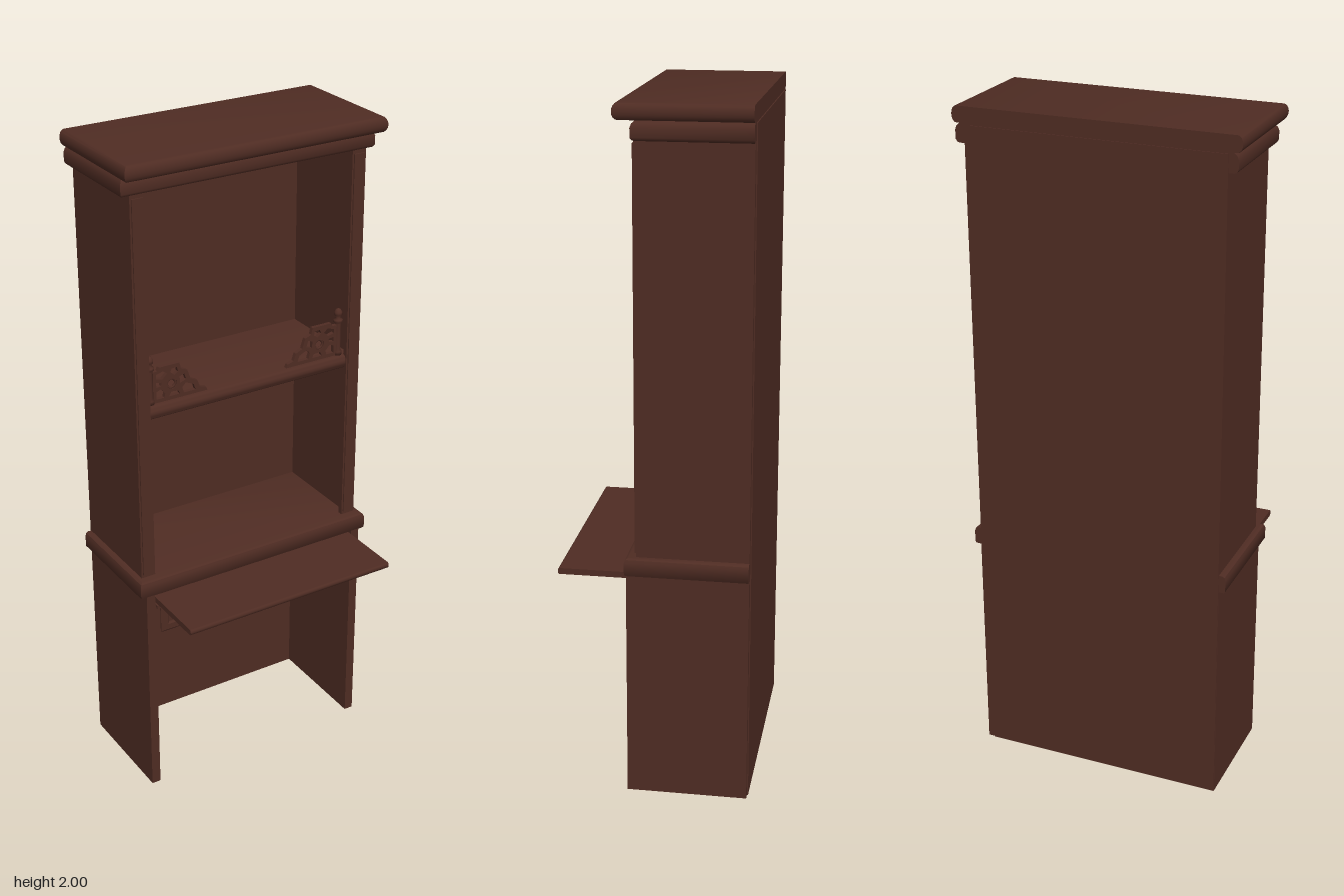
import * as THREE from 'three';
import { toCreasedNormals } from 'three/addons/utils/BufferGeometryUtils.js';

const wood = new THREE.MeshStandardMaterial({ color: 0x4f2c23 });
wood.name = 'dark walnut';

export function createModel() {
  const model = new THREE.Group();
  const BACK = -0.275;

  const add = (name, geometry, parent = model) => {
    const mesh = new THREE.Mesh(geometry, wood);
    mesh.name = name;
    parent.add(mesh);
    return mesh;
  };

  // Box given by its two opposite corners
  const box = (name, x0, x1, y0, y1, z0, z1, parent) => {
    const mesh = add(name, new THREE.BoxGeometry(x1 - x0, y1 - y0, z1 - z0), parent);
    mesh.position.set((x0 + x1) / 2, (y0 + y1) / 2, (z0 + z1) / 2);
    return mesh;
  };

  // Moulded slab: profile of [inset, y] swept round the front and sides, flat at the back
  const slab = (name, halfWidth, front, profile, back = BACK, sideMoulding = true) => {
    const positions = [], index = [];
    for (const [inset, y] of profile) {
      const x = halfWidth - (sideMoulding ? inset : 0), z = front - inset;
      positions.push(-x, y, back, -x, y, z, x, y, z, x, y, back);
    }
    const n = profile.length;
    for (let i = 0; i < n - 1; i++) {
      for (let j = 0; j < 4; j++) {
        const a = i * 4 + j, b = i * 4 + (j + 1) % 4;
        index.push(a, b, b + 4, a, b + 4, a + 4);
      }
    }
    const t = (n - 1) * 4;
    index.push(0, 2, 1, 0, 3, 2, t, t + 1, t + 2, t, t + 2, t + 3);
    const geometry = new THREE.BufferGeometry();
    geometry.setAttribute('position', new THREE.Float32BufferAttribute(positions, 3));
    geometry.setIndex(index);
    return add(name, toCreasedNormals(geometry, 0.7));
  };

  // Half-round edge between two heights
  const bullnose = (y0, y1, depth, steps = 8) => Array.from({ length: steps + 1 }, (_, i) => {
    const a = -Math.PI / 2 + Math.PI * i / steps;
    return [depth * (1 - Math.cos(a)), (y0 + y1) / 2 + Math.sin(a) * (y1 - y0) / 2];
  });

  // Carcass
  box('backPanel', -0.375, 0.355, 0, 1.95, -0.278, -0.262);
  for (const s of [-1, 1]) {
    const side = new THREE.Group();
    side.name = s > 0 ? 'leftSide' : 'rightSide';
    model.add(side);
    const sideBox = (name, x0, x1, ...rest) =>
      box(name, Math.min(s * x0, s * x1), Math.max(s * x0, s * x1), ...rest, side);
    sideBox('lowerSidePanel', 0.348, 0.376, 0, 0.685, BACK, 0.075);
    sideBox('upperSidePanel', 0.35, 0.375, 0.73, 1.905, BACK, 0.033);
    sideBox('stile', 0.33, 0.375, 0.73, 1.905, 0.03, 0.046);
    sideBox('stileFacing', 0.335, 0.37, 0.745, 1.892, 0.046, 0.05);
  }

  // Mouldings and shelves
  slab('waistMoulding', 0.395, 0.077, [[0.004, 0.682], [0, 0.687], [0, 0.722], [0.003, 0.731], [0.01, 0.735]]);
  slab('cornice', 0.402, 0.05, [[0.012, 1.9], [0.004, 1.903], [0, 1.91], [0, 1.935], [0.004, 1.946], [0.014, 1.955]]);
  slab('topBoard', 0.412, 0.096, bullnose(1.954, 2, 0.014));
  slab('middleShelf', 0.35, 0.044, bullnose(1.235, 1.275, 0.012), -0.27, false);
  slab('writingSlide', 0.346, 0.278, bullnose(0.657, 0.675, 0.004, 4), -0.1, false);

  // Drawer apron with two framed panels
  box('drawerApron', -0.349, 0.349, 0.545, 0.645, 0.058, 0.074);
  box('apronBead', -0.345, 0.345, 0.637, 0.648, 0.07, 0.081);
  box('apronDivider', -0.011, 0.011, 0.547, 0.64, 0.07, 0.08);
  const rectangle = (Type, w, h) => new Type([[-w, -h], [w, -h], [w, h], [-w, h]]
    .map(([x, y]) => new THREE.Vector2(x, y)));
  for (const s of [-1, 1]) {
    const frame = rectangle(THREE.Shape, 0.155, 0.04);
    frame.holes.push(rectangle(THREE.Path, 0.138, 0.023));
    const border = add('drawerFrame', new THREE.ExtrudeGeometry(frame, {
      depth: 0.004, bevelThickness: 0.003, bevelSize: 0.005, bevelSegments: 1,
    }));
    border.position.set(s * 0.172, 0.595, 0.074);
  }

  // Pierced corner brackets with turned posts
  const outline = new THREE.Shape();
  [[0, 0], [0.175, 0], [0.17, 0.012], [0.15, 0.018], [0.142, 0.04], [0.12, 0.05],
    [0.11, 0.08], [0.09, 0.088], [0.085, 0.108], [0.02, 0.108], [0.015, 0.098], [0, 0.098]]
    .forEach(([x, y], i) => (i ? outline.lineTo(x, y) : outline.moveTo(x, y)));
  const holes = [
    [[0.01, 0.075], [0.01, 0.088], [0.032, 0.094], [0.045, 0.084], [0.03, 0.07]],
    [[0.055, 0.085], [0.06, 0.096], [0.077, 0.096], [0.08, 0.082], [0.068, 0.074]],
    [[0.01, 0.012], [0.01, 0.035], [0.024, 0.04], [0.038, 0.025], [0.035, 0.012]],
    [[0.01, 0.048], [0.01, 0.063], [0.028, 0.06], [0.025, 0.05]],
    [[0.05, 0.012], [0.058, 0.025], [0.08, 0.023], [0.085, 0.012]],
    [[0.098, 0.012], [0.093, 0.03], [0.105, 0.042], [0.13, 0.03], [0.136, 0.012]],
    [[0.086, 0.045], [0.085, 0.066], [0.1, 0.07], [0.106, 0.052]],
  ];
  for (const points of holes) {
    outline.holes.push(new THREE.Path(points.map(([x, y]) => new THREE.Vector2(x, y))));
  }
  const ring = new THREE.Path().absarc(0.06, 0.049, 0.016, 0, Math.PI * 2, true);
  outline.holes.push(ring);
  const fretGeometry = new THREE.ExtrudeGeometry(outline, { depth: 0.012, bevelEnabled: false, curveSegments: 8 });
  const postGeometry = new THREE.LatheGeometry([
    [0, 0], [0.013, 0], [0.013, 0.012], [0.009, 0.018], [0.009, 0.1], [0.014, 0.106], [0.014, 0.113],
    [0.006, 0.119], [0.012, 0.128], [0.012, 0.136], [0.007, 0.145], [0, 0.148],
  ].map(([x, y]) => new THREE.Vector2(x, y)), 12);
  for (const s of [-1, 1]) {
    const bracket = new THREE.Group();
    bracket.name = s > 0 ? 'leftBracket' : 'rightBracket';
    bracket.position.set(s * 0.316, 1.274, 0.018);
    bracket.rotation.y = s > 0 ? Math.PI : 0;
    const fret = add('fretwork', fretGeometry, bracket);
    fret.position.set(0.008, 0, -0.006);
    add('post', postGeometry, bracket);
    const scroll = add('scroll', new THREE.TorusGeometry(0.014, 0.004, 6, 14), bracket);
    scroll.position.set(0.068, 0.049, 0);
    model.add(bracket);
  }
  return model;
}
